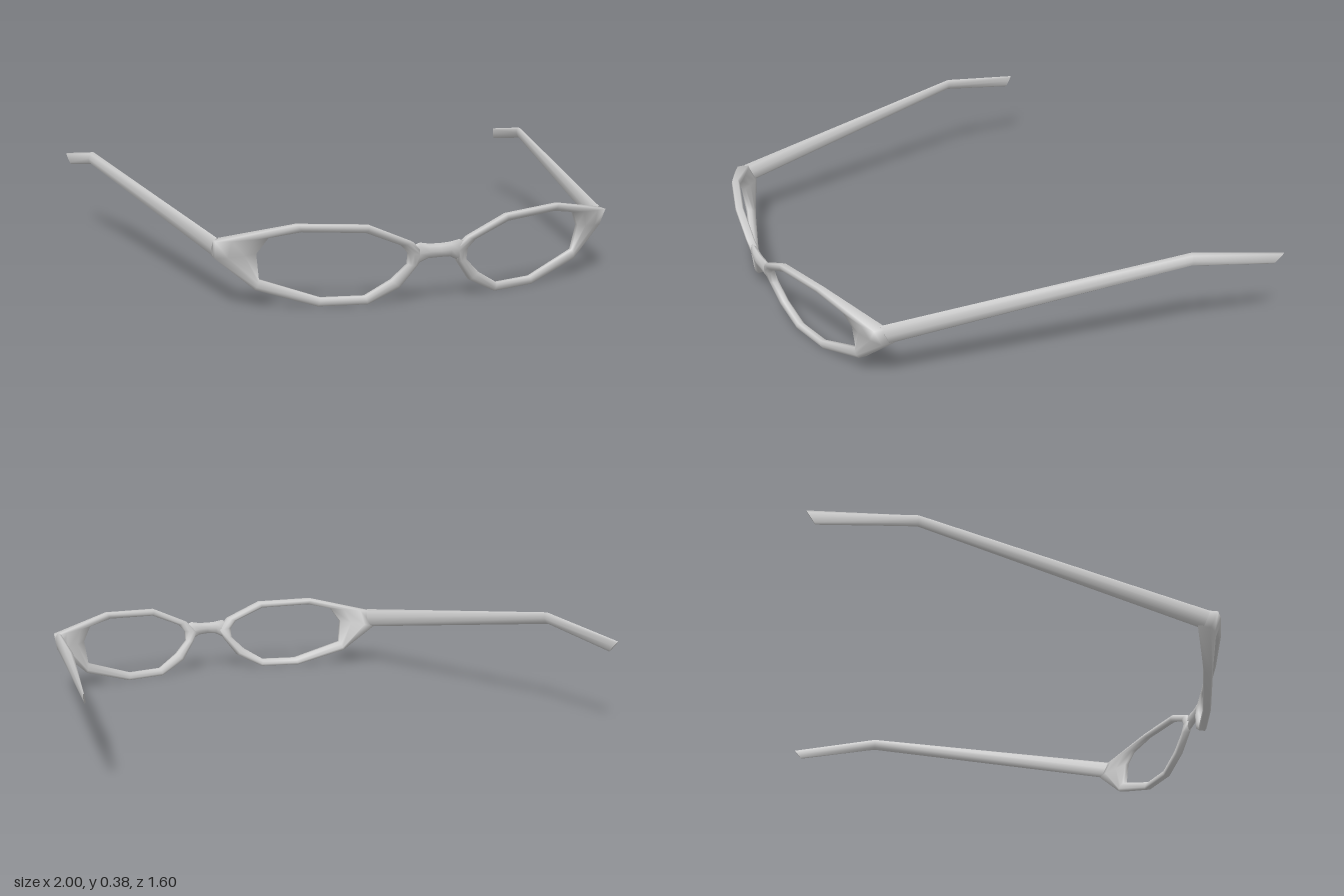
import * as THREE from 'three';

const material = new THREE.MeshStandardMaterial({ color: 0xcccccc });

// Skin a list of cross-sections (equal point counts); either joined into a ring or capped.
function loft(name, sections, ring) {
  const n = sections[0].length, m = sections.length;
  const pos = sections.flat(2), index = [];
  for (let i = 0; i < (ring ? m : m - 1); i++) {
    for (let j = 0; j < n; j++) {
      const a = i * n + j, b = i * n + (j + 1) % n;
      const c = ((i + 1) % m) * n + j, d = ((i + 1) % m) * n + (j + 1) % n;
      index.push(a, b, d, a, d, c);
    }
  }
  if (!ring) {
    // separate cap vertices keep the end edges sharp
    [sections[0], sections[m - 1]].forEach((s, end) => {
      const base = pos.length / 3;
      pos.push(...s.flat());
      for (let j = 1; j < n - 1; j++) {
        index.push(base, base + (end ? j : j + 1), base + (end ? j + 1 : j));
      }
    });
  }
  // turn the faces outwards if the enclosed volume comes out negative
  const v = k => new THREE.Vector3().fromArray(pos, index[k] * 3);
  let volume = 0;
  for (let k = 0; k < index.length; k += 3) volume += v(k).dot(v(k + 1).cross(v(k + 2)));
  if (volume < 0) index.reverse();

  const geo = new THREE.BufferGeometry();
  geo.setAttribute('position', new THREE.Float32BufferAttribute(pos, 3));
  geo.setIndex(index);
  geo.computeVertexNormals();
  const mesh = new THREE.Mesh(geo, material);
  mesh.name = name;
  return mesh;
}

// The front wraps backwards to the sides and leans in towards the bottom.
const wrapZ = (x, y) => 0.795 - 0.345 * x * x - 0.21 * (0.27 - y);

// Rim stations: outer x, y, inner x, y, half depth and z shift at the outer edge
const rimStations = [
  [0.055, 0.17, 0.108, 0.175, 0.016, 0.004],
  [0.10, 0.217, 0.135, 0.205, 0.016, 0.004],
  [0.25, 0.283, 0.26, 0.257, 0.016, 0],
  [0.48, 0.292, 0.465, 0.266, 0.016, 0],
  [0.73, 0.235, 0.565, 0.246, 0.034, 0.008],
  [0.725, 0.172, 0.60, 0.19, 0.034, -0.01],
  [0.60, 0.062, 0.588, 0.098, 0.02, 0],
  [0.40, 0.0, 0.39, 0.029, 0.016, 0],
  [0.235, 0.0, 0.245, 0.029, 0.016, 0],
  [0.13, 0.055, 0.16, 0.082, 0.016, 0],
  [0.075, 0.13, 0.107, 0.135, 0.016, 0],
];
// Rounded bar: position from outer (0) to inner (1) edge, and relative depth
const rimProfile = [[0, 0.7], [0.3, 1], [0.7, 1], [1, 0.5], [1, -0.5], [0.7, -1], [0.3, -1], [0, -0.7]];

function rim(side, name) {
  const sections = rimStations.map(([ox, oy, ix, iy, depth, shift]) => rimProfile.map(([u, d]) => {
    const x = ox + (ix - ox) * u, y = oy + (iy - oy) * u;
    const half = depth + (0.015 - depth) * u;
    return [side * x, y, wrapZ(x, y) + d * half + shift * (1 - u)];
  }));
  return loft(name, sections, true);
}

// Temple arm: centre, half-height vector, half width
const armStations = [
  [[0.717, 0.205, 0.595], [0, 0.037, 0.016], 0.017],
  [[0.946, 0.352, -0.44], [-0.004, 0.023, 0], 0.016],
  [[0.992, 0.298, -0.783], [0.006, 0.021, -0.016], 0.003],
];

function arm(side, name) {
  const sections = armStations.map(([c, up, w]) => Array.from({ length: 8 }, (_, k) => {
    const a = (k / 8) * Math.PI * 2, u = Math.cos(a);
    return [side * (c[0] + up[0] * u + w * Math.sin(a)), c[1] + up[1] * u, c[2] + up[2] * u];
  }));
  return loft(name, sections, false);
}

// Bridge: x, centre y, half height, half depth; flares and sinks into the rims
const bridgeStations = [
  [0, 0.179, 0.024, 0.016], [0.04, 0.179, 0.026, 0.016],
  [0.072, 0.174, 0.037, 0.014], [0.09, 0.174, 0.03, 0.006],
];

function bridge() {
  const mirrored = bridgeStations.slice(1).reverse().map(([x, ...rest]) => [-x, ...rest]);
  const sections = [...mirrored, ...bridgeStations].map(([x, cy, half, depth]) => {
    const lean = Math.abs(x) / 0.09;
    return Array.from({ length: 8 }, (_, k) => {
      const a = (k / 8) * Math.PI * 2, y = cy + half * Math.cos(a);
      const z = wrapZ(x, 0.2 + (y - 0.2) * lean) + 0.004;
      return [x, y, z + depth * Math.sin(a)];
    });
  });
  return loft('bridge', sections, false);
}

export function createModel() {
  const group = new THREE.Group();
  group.name = 'eyeglasses';
  group.add(bridge());
  for (const [side, label] of [[1, 'left'], [-1, 'right']]) {
    group.add(rim(side, label + 'Rim'), arm(side, label + 'TempleArm'));
  }
  return group;
}
